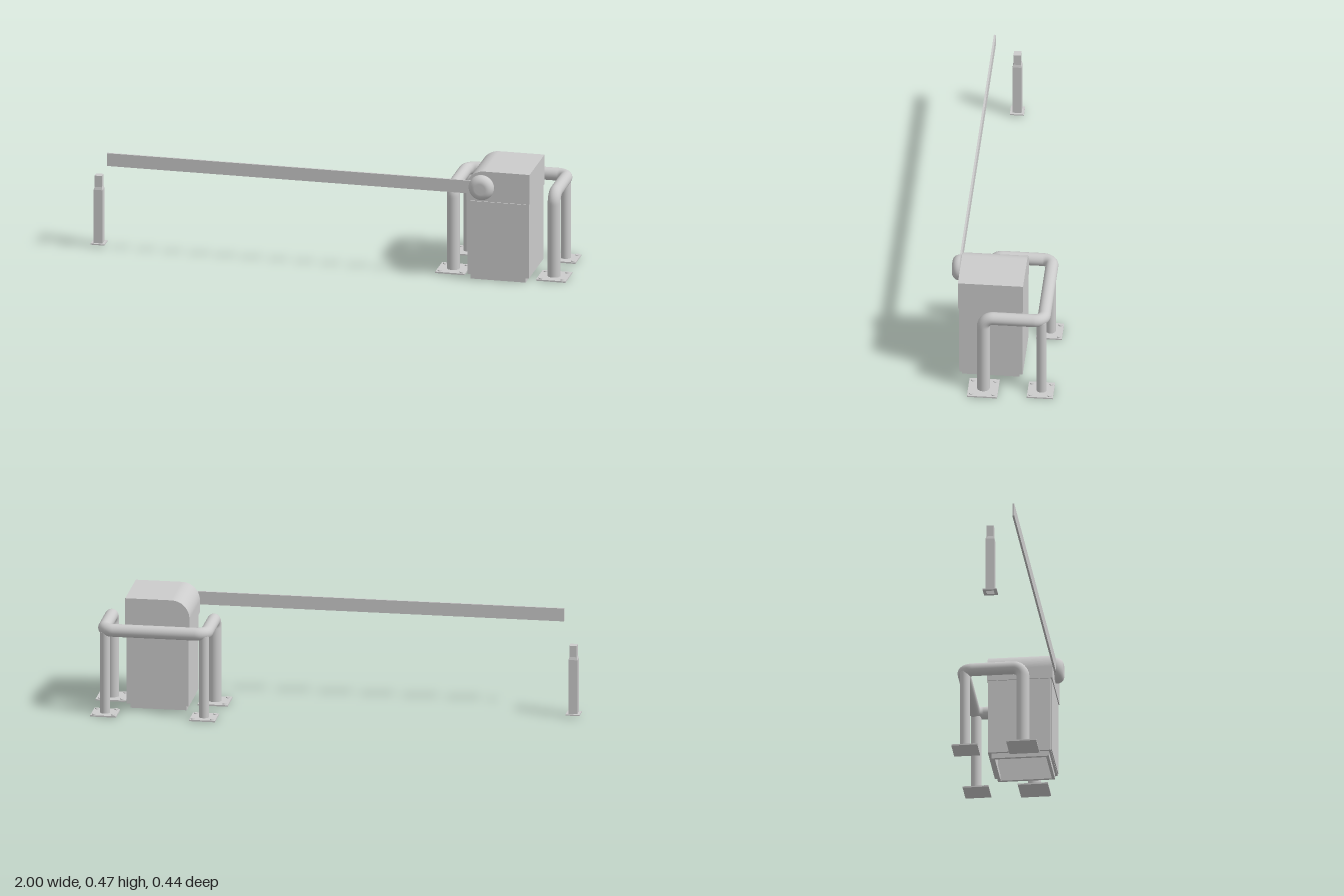
import * as THREE from 'three';

const grey = new THREE.MeshStandardMaterial({ color: 0xcccccc, side: THREE.DoubleSide });

function add(parent, name, geometry, x = 0, y = 0, z = 0) {
  const mesh = new THREE.Mesh(geometry, grey);
  mesh.name = name;
  mesh.position.set(x, y, z);
  parent.add(mesh);
  return mesh;
}

const box = (w, h, d) => new THREE.BoxGeometry(w, h, d);

// Upright rectangular sleeve, open at both ends, standing on y = 0
function sleeve(w, d, h, wall) {
  const rect = (P, a, b) => {
    const p = new P();
    p.moveTo(-a, -b); p.lineTo(a, -b); p.lineTo(a, b); p.lineTo(-a, b); p.closePath();
    return p;
  };
  const shape = rect(THREE.Shape, w / 2, d / 2);
  shape.holes.push(rect(THREE.Path, w / 2 - wall, d / 2 - wall));
  return new THREE.ExtrudeGeometry(shape, { depth: h, bevelEnabled: false }).rotateX(-Math.PI / 2);
}

// Polyline whose corners are replaced by circular bends
function bentPath(points, r) {
  const path = new THREE.CurvePath();
  let last = points[0];
  for (let i = 1; i < points.length - 1; i++) {
    const c = points[i];
    const back = points[i - 1].clone().sub(c).normalize();
    const on = points[i + 1].clone().sub(c).normalize();
    const at = (dir, t) => c.clone().addScaledVector(dir, t);
    const k = r * (1 - 0.5523);
    path.add(new THREE.LineCurve3(last, at(back, r)));
    path.add(new THREE.CubicBezierCurve3(at(back, r), at(back, k), at(on, k), at(on, r)));
    last = at(on, r);
  }
  path.add(new THREE.LineCurve3(last, points[points.length - 1]));
  return path;
}

// Bolted foot plate
function footPlate(parent, name, x, z, size, boltOffset) {
  const foot = new THREE.Group();
  foot.name = name;
  foot.position.set(x, 0, z);
  add(foot, 'plate', box(size, 0.006, size), 0, 0.003, 0);
  for (const sx of [-1, 1]) for (const sz of [-1, 1]) {
    add(foot, 'bolt', new THREE.CylinderGeometry(0.008, 0.009, 0.005, 12),
      sx * boltOffset, 0.0075, sz * boltOffset);
  }
  parent.add(foot);
}

function createCabinet() {
  const g = new THREE.Group();
  g.name = 'cabinet';
  add(g, 'plinth', sleeve(0.232, 0.235, 0.024, 0.012), 0.722, 0, 0.0475);
  add(g, 'body', sleeve(0.258, 0.259, 0.323, 0.014), 0.725, 0.022, 0.0445);
  add(g, 'door', box(0.242, 0.315, 0.006), 0.721, 0.183, 0.175);

  // Hood with one rounded upper edge
  const x0 = 0.592, x1 = 0.858, y0 = 0.345, y1 = 0.472, r = 0.075;
  const s = new THREE.Shape();
  s.moveTo(x0, y0); s.lineTo(x1, y0); s.lineTo(x1, y1); s.lineTo(x0 + r, y1);
  s.absarc(x0 + r, y1 - r, r, Math.PI / 2, Math.PI, false);
  s.closePath();
  add(g, 'hood', new THREE.ExtrudeGeometry(s, { depth: 0.268, bevelEnabled: false, curveSegments: 16 }), 0, 0, -0.087);
  return g;
}

function createBoom() {
  const g = new THREE.Group();
  g.name = 'boom';
  add(g, 'arm', box(1.557, 0.055, 0.008), -0.1385, 0.405, 0.191);
  const shaft = add(g, 'pivotShaft', new THREE.CylinderGeometry(0.013, 0.013, 0.01, 20), 0.658, 0.406, 0.184);
  shaft.rotation.x = Math.PI / 2;
  // Flattened dome over the pivot
  const profile = [new THREE.Vector2(0, 0), new THREE.Vector2(0.053, 0), new THREE.Vector2(0.053, 0.004)];
  for (let i = 0; i <= 10; i++) {
    const a = (i / 10) * Math.PI / 2;
    profile.push(new THREE.Vector2(0.023 + 0.03 * Math.cos(a), 0.006 + 0.03 * Math.sin(a)));
  }
  profile.push(new THREE.Vector2(0, 0.036));
  const dome = add(g, 'pivotDome', new THREE.LatheGeometry(profile, 36), 0.658, 0.406, 0.186);
  dome.rotation.x = Math.PI / 2;
  return g;
}

function createGuard() {
  const g = new THREE.Group();
  g.name = 'guardRail';
  const xl = 0.511, xr = 0.935, zf = 0.069, zb = -0.178, top = 0.36;
  const v = (x, y, z) => new THREE.Vector3(x, y, z);
  const path = bentPath([v(xl, 0.003, zf), v(xl, top, zf), v(xl, top, zb),
    v(xr, top, zb), v(xr, top, zf), v(xr, 0.003, zf)], 0.04);
  add(g, 'bentRail', new THREE.TubeGeometry(path, 220, 0.0265, 20, false));
  for (const x of [xl, xr]) {
    footPlate(g, 'frontFoot', x, zf, 0.124, 0.046);
    const xBack = x === xl ? 0.518 : 0.928;
    add(g, 'rearLeg', new THREE.CylinderGeometry(0.021, 0.021, 0.35, 20), xBack, 0.177, -0.17);
    footPlate(g, 'rearFoot', xBack, -0.167, 0.107, 0.04);
  }
  return g;
}

function createRestPost() {
  const g = new THREE.Group();
  g.name = 'restPost';
  g.position.set(-0.971, 0.01, 0.103);
  add(g, 'basePlate', sleeve(0.058, 0.058, 0.005, 0.012));
  add(g, 'column', sleeve(0.037, 0.037, 0.235, 0.003));
  // Narrow head on a short tapered shoulder
  const shoulder = new THREE.CylinderGeometry(0.0305 / Math.SQRT2, 0.037 / Math.SQRT2, 0.012, 4)
    .rotateY(Math.PI / 4).toNonIndexed();
  shoulder.computeVertexNormals();
  add(g, 'shoulder', shoulder, 0, 0.241, 0);
  add(g, 'head', box(0.0305, 0.048, 0.0305), 0, 0.271, 0);
  return g;
}

export function createModel() {
  const model = new THREE.Group();
  model.name = 'barrierGate';
  model.add(createCabinet(), createBoom(), createGuard(), createRestPost());
  return model;
}
